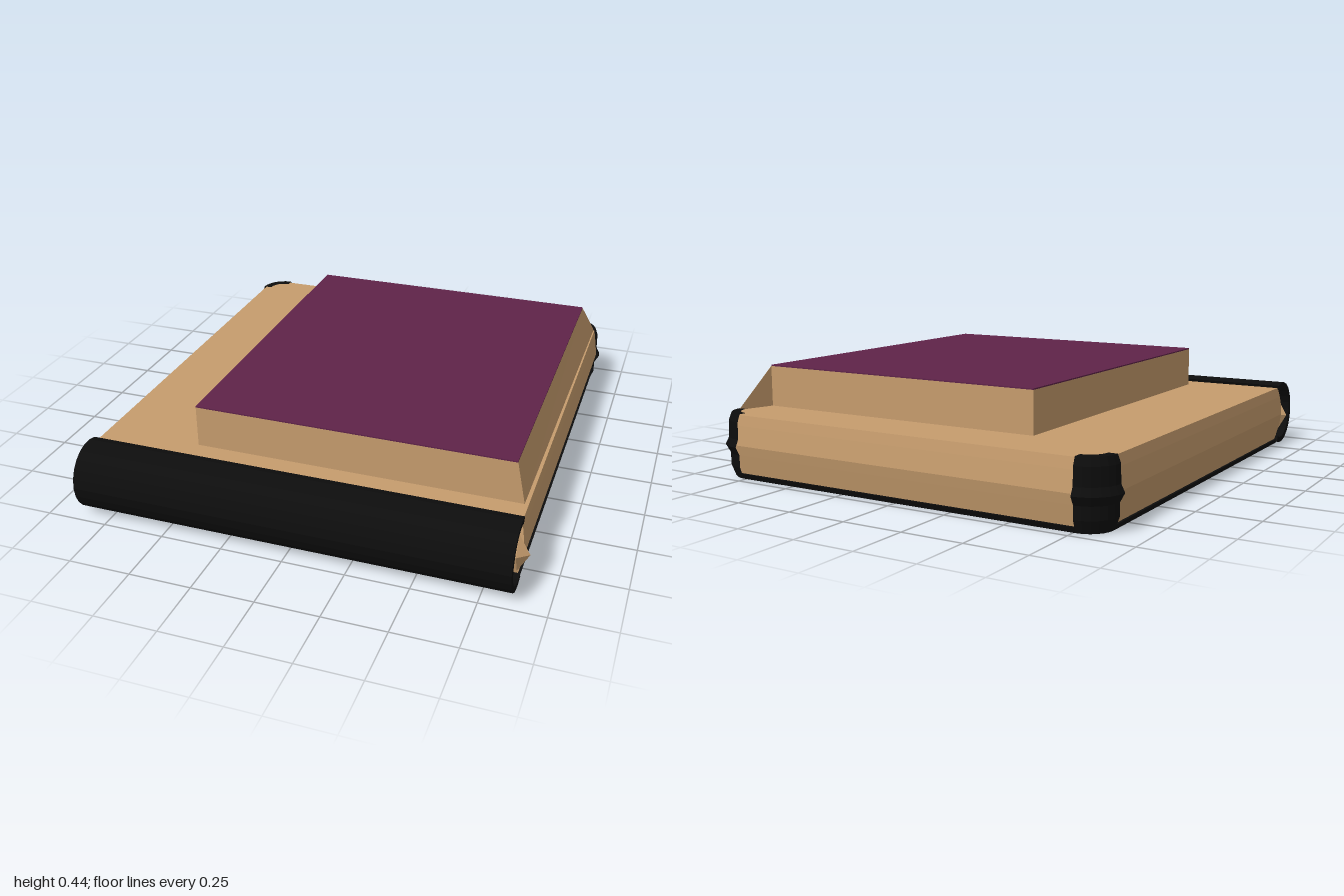
import * as THREE from 'three';

const tan = new THREE.MeshStandardMaterial({ color: 0xc69c6d, side: THREE.DoubleSide });
tan.name = 'tan';
const black = new THREE.MeshStandardMaterial({ color: 0x0d0d0d, side: THREE.DoubleSide });
black.name = 'black';
const purple = new THREE.MeshStandardMaterial({ color: 0x5f2349 });
purple.name = 'purple';

function add(group, name, geometry, material) {
  const mesh = new THREE.Mesh(geometry, material);
  mesh.name = name;
  group.add(mesh);
  return mesh;
}

// One rounded back corner; side is +1 or -1, inset shrinks the radius
function corner(side, y, inset, steps = 6) {
  const pts = [];
  for (let i = 0; i <= steps; i++) {
    const a = (i / steps) * Math.PI / 2 + (side < 0 ? Math.PI / 2 : 0);
    const r = 0.12 - inset;
    pts.push(new THREE.Vector3(side * 0.76 + r * Math.cos(a), y, -0.865 - r * Math.sin(a)));
  }
  return pts;
}

// Outline of the whole slab at one height
function outline(y, inset, front = 0.85) {
  return [
    new THREE.Vector3(0.88 - inset, y, front - inset),
    ...corner(1, y, inset), ...corner(-1, y, inset),
    new THREE.Vector3(-0.88 + inset, y, front - inset),
  ];
}

// Faceted skin through a stack of rows, capped when the rows are closed
function loft(rows, closed) {
  const p = [];
  const tri = (...v) => v.forEach((q) => p.push(q.x, q.y, q.z));
  const n = rows[0].length;
  for (let i = 0; i < rows.length - 1; i++) {
    for (let j = 0; j < (closed ? n : n - 1); j++) {
      const k = (j + 1) % n;
      tri(rows[i][j], rows[i][k], rows[i + 1][k]);
      tri(rows[i][j], rows[i + 1][k], rows[i + 1][j]);
    }
  }
  if (closed) {
    const top = rows[rows.length - 1];
    for (let j = 1; j < n - 1; j++) {
      tri(rows[0][0], rows[0][j + 1], rows[0][j]);
      tri(top[0], top[j], top[j + 1]);
    }
  }
  const g = new THREE.BufferGeometry();
  g.setAttribute('position', new THREE.Float32BufferAttribute(p, 3));
  g.computeVertexNormals();
  return g;
}

export function createModel() {
  const model = new THREE.Group();
  model.name = 'binder';

  // Slab with a slight bulge around its edge, and the bottom cover
  const levels = [[0.022, 0.025], [0.1, 0.008], [0.14, 0], [0.22, 0.012], [0.262, 0.02]];
  add(model, 'body', loft(levels.map(([y, i]) => outline(y, i)), true), tan);
  add(model, 'bottomCover', loft([outline(0, 0.025, 0.88), outline(0.022, 0.015, 0.88)], true), black);

  // Ridged guards wrapped around the back corners
  const guard = [[0.006, 0.02], [0.05, 0.004], [0.1, 0.004], [0.135, -0.015],
    [0.165, 0], [0.235, 0.002], [0.266, 0.014], [0.266, 0.05]];
  for (const side of [1, -1]) {
    add(model, side > 0 ? 'leftCornerGuard' : 'rightCornerGuard',
      loft(guard.map(([y, i]) => corner(side, y, i)), false), black);
  }

  // Hollow curved spine, drawn in the z-y plane and swept along x
  const arc = (rz, ry) => {
    const pts = [];
    for (let i = 0; i <= 14; i++) {
      const a = -Math.PI * 0.62 + (i / 14) * Math.PI * 1.24;
      pts.push(new THREE.Vector2(0.865 + rz * Math.cos(a), 0.143 + ry * Math.sin(a)));
    }
    return pts;
  };
  const section = new THREE.Shape([...arc(0.135, 0.141), ...arc(0.108, 0.117).reverse()]);
  const spine = new THREE.ExtrudeGeometry(section, { depth: 1.735, bevelEnabled: false });
  spine.rotateY(-Math.PI / 2);
  // The turn maps the sweep to -x and the section's first axis to +z
  spine.translate(0.865, 0, 0);
  add(model, 'spine', spine, black);

  // Small folded points beside the spine
  for (const side of [1, -1]) {
    const fold = new THREE.OctahedronGeometry(1);
    fold.scale(0.045, 0.08, 0.035);
    add(model, side > 0 ? 'leftFold' : 'rightFold', fold, tan).position.set(side * 0.855, 0.135, 0.845);
  }

  // Raised block with its purple top sheet
  const block = new THREE.BoxGeometry(1.27, 0.17, 1.45);
  add(model, 'raisedBlock', block, tan).position.set(0.175, 0.345, -0.005);
  const sheet = new THREE.BoxGeometry(1.27, 0.005, 1.45);
  add(model, 'topSheet', sheet, purple).position.set(0.175, 0.4325, -0.005);

  // Sloping flap from the block down to the slab's edge
  const v = (x, y, z) => new THREE.Vector3(x, y, z);
  add(model, 'sideFlap', loft([
    [v(0.845, 0.262, 0.72), v(0.855, 0.262, -0.88), v(0.81, 0.262, -0.73)],
    [v(0.811, 0.43, 0.72), v(0.811, 0.43, -0.73), v(0.81, 0.43, -0.73)],
  ], false), tan);
  add(model, 'flapEnd', loft([
    [v(0.81, 0.262, 0.72), v(0.845, 0.262, 0.72)],
    [v(0.81, 0.43, 0.72), v(0.811, 0.43, 0.72)],
  ], false), tan);

  return model;
}
